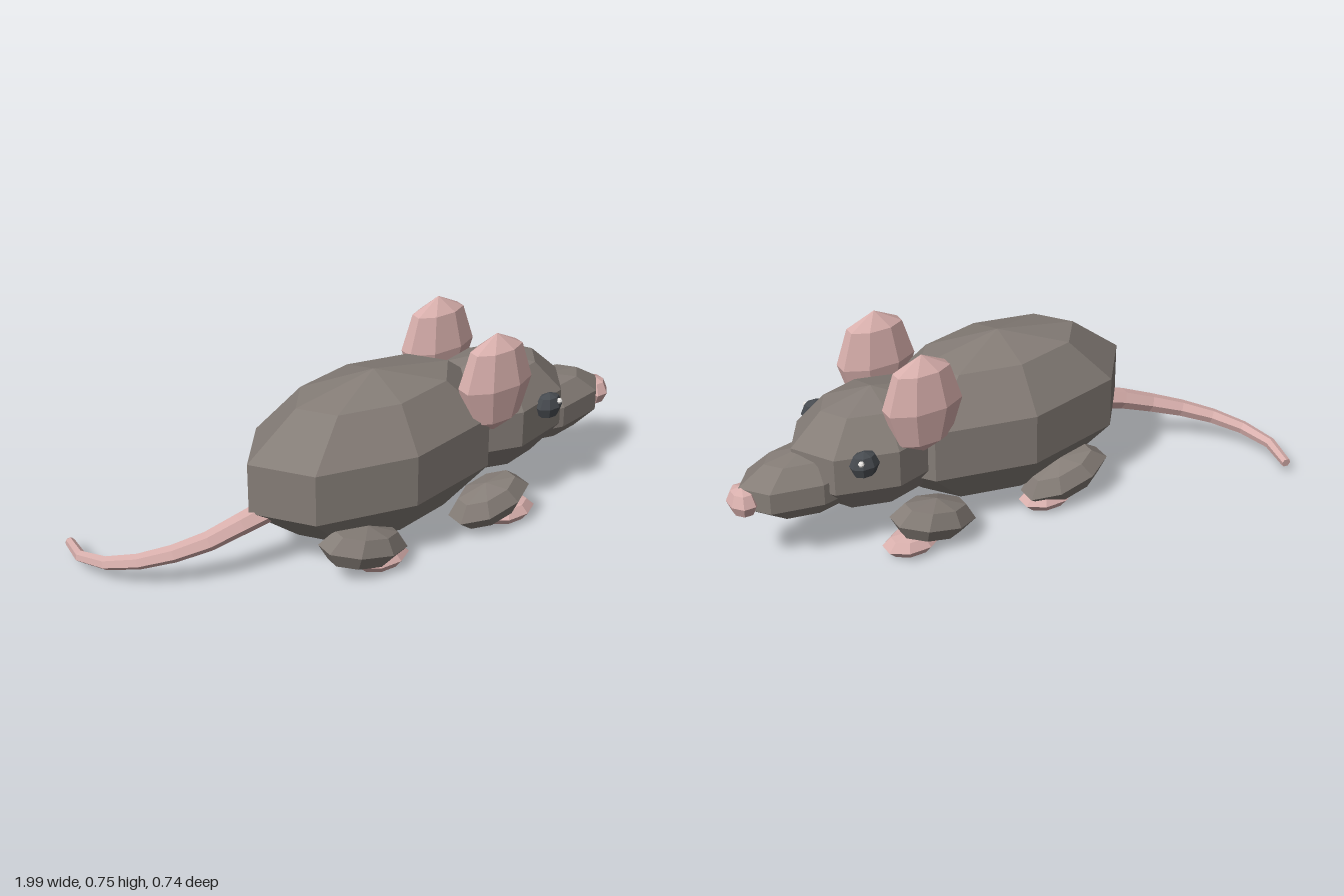
import * as THREE from 'three';

const MID = 0.095; // body centre line; the tail swings to one side

function makeMaterial(name, color, side = THREE.FrontSide) {
  const m = new THREE.MeshStandardMaterial({ color, flatShading: true, side });
  m.name = name;
  return m;
}

export function createModel() {
  const group = new THREE.Group();
  group.name = 'mouse';
  const fur = makeMaterial('grey fur', 0x857d77);
  const pink = makeMaterial('pink skin', 0xd9b0ad, THREE.DoubleSide);
  const dark = makeMaterial('dark eye', 0x474b50);
  const white = makeMaterial('eye highlight', 0xf2efec);

  // Large faceted ellipsoid, corners on the axes
  const bigGeo = new THREE.SphereGeometry(1, 8, 5);
  // Small faceted ellipsoid, flats on the axes, unit half extents
  const smallGeo = new THREE.SphereGeometry(1, 8, 4);
  smallGeo.rotateY(Math.PI / 8);
  smallGeo.scale(1 / Math.cos(Math.PI / 8), 1, 1 / Math.cos(Math.PI / 8));

  function add(name, geo, mat, pos, size, tilt = 0) {
    const mesh = new THREE.Mesh(geo, mat);
    mesh.name = name;
    mesh.position.set(...pos);
    mesh.scale.set(...size);
    mesh.rotation.z = tilt;
    group.add(mesh);
  }

  add('body', bigGeo, fur, [-0.018, 0.348, MID], [0.517, 0.303, 0.279]);
  add('head', bigGeo, fur, [0.467, 0.359, MID], [0.313, 0.218, 0.21]);
  add('snout', bigGeo, fur, [0.71, 0.297, MID], [0.262, 0.124, 0.133]);
  add('nose', smallGeo, pink, [0.945, 0.285, MID], [0.05, 0.056, 0.06]);

  // Paired parts
  for (const [side, s] of [['left', -1], ['right', 1]]) {
    const z = d => MID + s * d;
    add(side + 'Ear', smallGeo, pink, [0.362, 0.563, z(0.168)], [0.134, 0.185, 0.065]);
    add(side + 'Eye', smallGeo, dark, [0.588, 0.411, z(0.185)], [0.049, 0.051, 0.033]);
    add(side + 'EyeHighlight', smallGeo, white, [0.612, 0.434, z(0.212)], [0.01, 0.01, 0.01]);
    add(side + 'FrontLeg', smallGeo, fur, [0.343, 0.11, z(0.184)], [0.15, 0.076, 0.088], 0.22);
    add(side + 'HindLeg', smallGeo, fur, [-0.18, 0.11, z(0.184)], [0.16, 0.076, 0.088], -0.25);
    add(side + 'FrontFoot', smallGeo, pink, [0.427, 0.042, z(0.184)], [0.098, 0.042, 0.065]);
    add(side + 'HindFoot', smallGeo, pink, [-0.11, 0.042, z(0.184)], [0.098, 0.042, 0.065]);
  }

  // Tail: tube along a curve, each ring shrunk towards the tip
  const path = new THREE.CatmullRomCurve3([
    [-0.42, 0.25, 0.1], [-0.5, 0.228, 0.09], [-0.65, 0.175, 0.06], [-0.81, 0.125, -0.015],
    [-0.92, 0.087, -0.12], [-0.972, 0.063, -0.25], [-0.955, 0.05, -0.365],
  ].map(p => new THREE.Vector3(...p)));
  const segs = 7, sides = 6, r0 = 0.041, r1 = 0.017;
  const tube = new THREE.TubeGeometry(path, segs, r0, sides, false);
  const pos = tube.attributes.position, v = new THREE.Vector3();
  for (let i = 0; i <= segs; i++) {
    const c = path.getPointAt(i / segs);
    const k = 1 + (r1 / r0 - 1) * (i / segs);
    for (let j = 0; j <= sides; j++) {
      const n = i * (sides + 1) + j;
      v.fromBufferAttribute(pos, n).sub(c).multiplyScalar(k).add(c);
      pos.setXYZ(n, v.x, v.y, v.z);
    }
  }
  add('tail', tube, pink, [0, 0, 0], [1, 1, 1]);

  // Flat tail end
  const cap = new THREE.Mesh(new THREE.CircleGeometry(r1, sides), pink);
  cap.name = 'tailTip';
  cap.position.copy(path.getPointAt(1));
  cap.lookAt(cap.position.clone().add(path.getTangentAt(1)));
  group.add(cap);

  return group;
}
